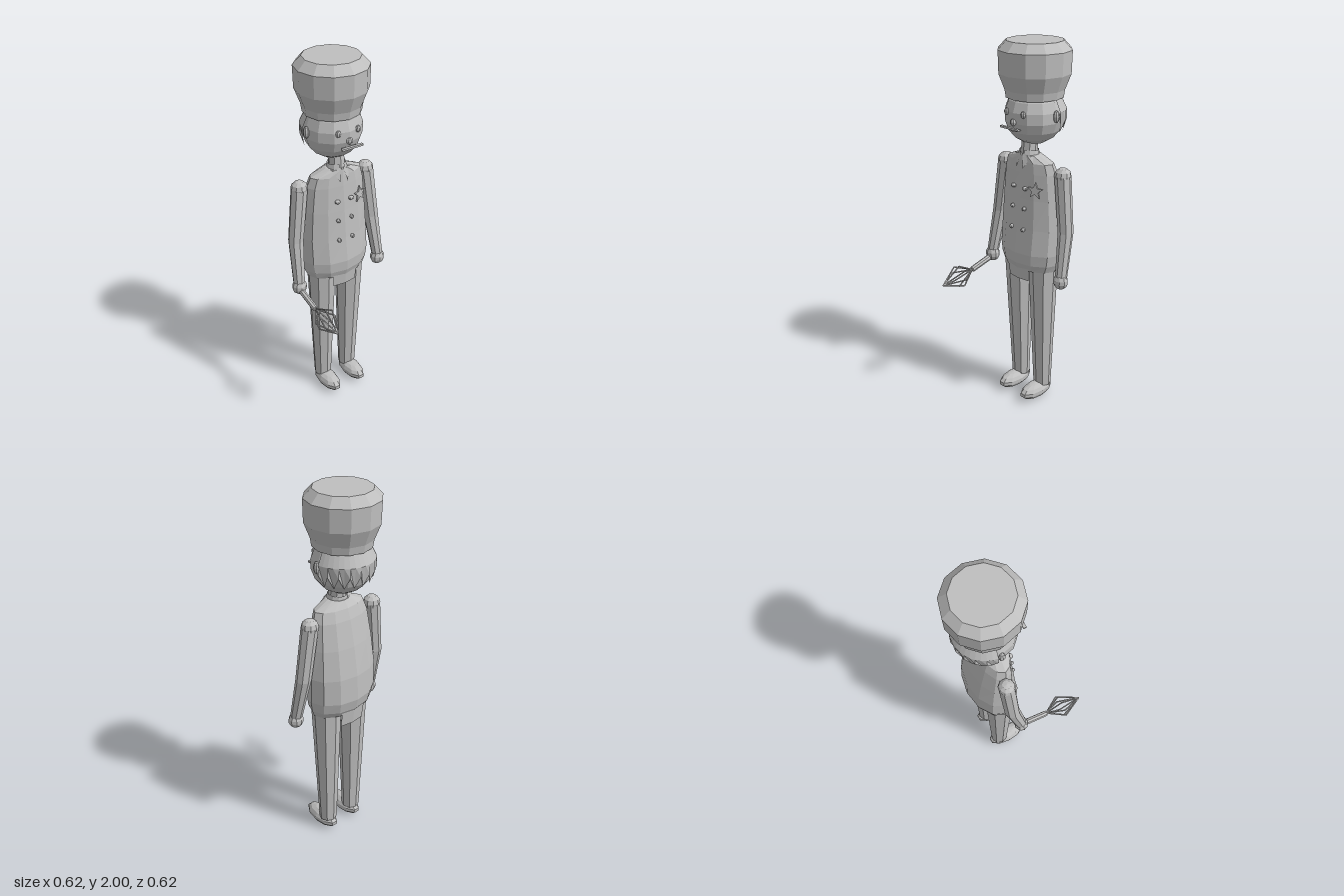
import * as THREE from 'three';

const grey = new THREE.MeshStandardMaterial({ color: 0xbfbfbf, flatShading: true, side: THREE.DoubleSide });
grey.name = 'plain grey';
const CX = 0.01; // body axis
const V = (x, y, z) => new THREE.Vector3(x, y, z);

function add(parent, name, geo, x = 0, y = 0, z = 0) {
  const m = new THREE.Mesh(geo, grey);
  m.name = name;
  m.position.set(x, y, z);
  parent.add(m);
  return m;
}

// Low-poly ellipsoid
function ball(parent, name, p, rx, ry, rz, w = 10, h = 7) {
  const m = add(parent, name, new THREE.SphereGeometry(1, w, h), ...p);
  m.scale.set(rx, ry, rz);
  return m;
}

// Tapered round bar between two points
function bar(parent, name, a, b, ra, rb, sides = 8) {
  const m = add(parent, name, new THREE.CylinderGeometry(rb, ra, a.distanceTo(b), sides));
  m.position.copy(a).lerp(b, 0.5);
  m.quaternion.setFromUnitVectors(V(0, 1, 0), b.clone().sub(a).normalize());
  return m;
}

// Closed skin through rings [centre, rx, rz], bottom to top
function loft(rings, n) {
  const pos = [], idx = [];
  for (const [c, rx, rz] of rings)
    for (let i = 0; i < n; i++) {
      const t = (i / n) * Math.PI * 2;
      pos.push(c.x + rx * Math.sin(t), c.y, c.z + rz * Math.cos(t));
    }
  for (let r = 0; r < rings.length - 1; r++)
    for (let i = 0; i < n; i++) {
      const a = r * n + i, b = r * n + (i + 1) % n;
      idx.push(a, b, b + n, a, b + n, a + n);
    }
  const top = (rings.length - 1) * n;
  for (let i = 1; i < n - 1; i++) idx.push(0, i + 1, i, top, top + i, top + i + 1);
  return surface(pos, idx);
}

function surface(pos, idx) {
  const g = new THREE.BufferGeometry();
  g.setAttribute('position', new THREE.Float32BufferAttribute(pos, 3));
  g.setIndex(idx);
  g.computeVertexNormals();
  return g;
}

// Shell round the back of the head with a jagged lower edge
function hairGeometry() {
  const pos = [], idx = [], n = 18, R = 0.167;
  for (let i = 0; i <= n; i++) {
    const t = THREE.MathUtils.degToRad(95 + (170 * i) / n);
    for (const y of [0.11, 0.03, i % 2 ? -0.08 : -0.02]) {
      const r = Math.sqrt(R * R - y * y);
      pos.push(r * Math.sin(t), y, r * Math.cos(t));
    }
  }
  for (let i = 0; i < n; i++)
    for (let j = 0; j < 2; j++) {
      const a = i * 3 + j, b = a + 3;
      idx.push(a, a + 1, b + 1, a, b + 1, b);
    }
  return surface(pos, idx);
}

function starGeometry(r) {
  const s = new THREE.Shape();
  for (let i = 0; i < 10; i++) {
    const a = Math.PI / 2 + (i * Math.PI) / 5, q = i % 2 ? r * 0.42 : r;
    s[i ? 'lineTo' : 'moveTo'](q * Math.cos(a), q * Math.sin(a));
  }
  return new THREE.ExtrudeGeometry(s, { depth: 0.008, bevelEnabled: false });
}

function buildHead(g) {
  const head = new THREE.Group();
  head.name = 'head';
  head.position.set(CX, 1.63, -0.12);
  g.add(head);
  ball(head, 'skull', [0, 0, 0], 0.156, 0.156, 0.156, 12, 9);
  add(head, 'hair', hairGeometry());
  ball(head, 'nose', [0, -0.02, 0.15], 0.018, 0.018, 0.018, 8, 6);
  for (const s of [-1, 1]) {
    ball(head, 'ear', [s * 0.156, 0.01, 0.005], 0.016, 0.032, 0.018, 8, 6);
    ball(head, 'eye', [s * 0.058, 0.025, 0.14], 0.015, 0.018, 0.012, 8, 6);
  }
  add(head, 'moustache', new THREE.BoxGeometry(0.125, 0.01, 0.016), 0, -0.045, 0.175);
  const lips = new THREE.Shape();
  lips.moveTo(-0.045, 0.006);
  lips.lineTo(0.045, 0.006);
  lips.quadraticCurveTo(0, -0.024, -0.045, 0.006);
  add(head, 'mouth', new THREE.ExtrudeGeometry(lips, { depth: 0.009, bevelEnabled: false, curveSegments: 5 }), 0, -0.06, 0.14);

  // Tall hat, wider at the top
  const profile = [[0, 1.72], [0.15, 1.72], [0.156, 1.76], [0.187, 1.84], [0.19, 1.955], [0.147, 2], [0, 2]];
  add(g, 'hat', new THREE.LatheGeometry(profile.map(([r, y]) => new THREE.Vector2(r, y)), 12), CX, 0, -0.12);
  bar(g, 'neck', V(CX, 1.38, -0.08), V(CX, 1.51, -0.09), 0.045, 0.042);
}

function buildJacket(g) {
  // Rows: height, half width, front z, back z
  const rows = [
    [0.8, 0.172, 0, -0.21], [0.84, 0.19, 0.015, -0.238], [0.9, 0.2, 0.02, -0.252], [1.04, 0.199, 0.003, -0.245],
    [1.2, 0.186, -0.01, -0.217], [1.34, 0.17, -0.02, -0.185], [1.395, 0.152, -0.025, -0.165], [1.43, 0.065, -0.028, -0.14],
  ];
  add(g, 'jacket', loft(rows.map(([y, rx, f, b]) => [V(CX, y, (f + b) / 2), rx, (f - b) / 2]), 12));

  // Hem flaps, front and back
  for (const start of [0, Math.PI]) {
    const hem = new THREE.CylinderGeometry(1, 0.93, 0.09, 2, 1, true, start - 0.44, 0.88);
    add(g, 'hemFlap', hem, CX, 0.785, -0.108).scale.set(0.18, 1, start ? 0.118 : 0.112);
  }

  // Stand-up collar, open in front, with folded points
  const collar = add(g, 'collar', new THREE.CylinderGeometry(0.05, 0.066, 0.075, 10, 1, true, 0.25, Math.PI * 2 - 0.5), CX, 1.415, -0.083);
  collar.rotation.x = -0.08;
  for (const s of [-1, 1]) {
    add(g, 'collarPoint', surface([s * 0.005, 1.44, -0.03, s * 0.055, 1.43, -0.045, s * 0.022, 1.365, -0.014], [0, 1, 2]), CX);
  }

  // Two columns of buttons and a star badge
  for (const [y, z] of [[1.26, -0.012], [1.15, -0.006], [1.035, 0.002]])
    for (const s of [-1, 1]) {
      const r = y > 1.2 ? 0.016 : 0.011;
      ball(g, 'button', [CX + s * 0.042, y, z], r, 0.011, 0.014, 8, 6);
    }
  add(g, 'starBadge', starGeometry(0.045), 0.112, 1.26, -0.027).rotation.set(-0.08, 0.32, 0);
}

function buildArm(g, s) {
  const shoulder = V(CX + s * 0.205, 1.345, -0.118), elbow = V(CX + s * 0.242, 1.05, -0.108);
  const wrist = V(CX + s * 0.258, 0.815, -0.064);
  const arm = new THREE.Group();
  arm.name = s > 0 ? 'leftArm' : 'rightArm';
  g.add(arm);
  ball(arm, 'shoulder', shoulder.toArray(), 0.046, 0.042, 0.044, 9, 6);
  add(arm, 'sleeve', loft([[wrist, 0.032, 0.032], [elbow, 0.042, 0.04], [shoulder, 0.046, 0.042]], 8));
  ball(arm, 'hand', [wrist.x, 0.79, -0.06], 0.042, 0.044, 0.038, 9, 7);
}

function buildLeg(g, s) {
  const leg = new THREE.Group();
  leg.name = s > 0 ? 'leftLeg' : 'rightLeg';
  g.add(leg);
  const foot = CX + s * 0.085;
  add(leg, 'trouser', loft([[V(foot, 0.07, -0.115), 0.05, 0.048], [V(CX + s * 0.09, 0.83, -0.105), 0.079, 0.081]], 8));
  ball(leg, 'shoe', [foot, 0.045, -0.065], 0.053, 0.045, 0.116, 10, 7);
}

function buildWhisk(g) {
  const whisk = new THREE.Group();
  whisk.name = 'whisk';
  g.add(whisk);
  const x = -0.25, neck = V(x, 0.737, 0.097), tip = V(x, 0.71, 0.308);
  bar(whisk, 'whiskHandle', V(x, 0.775, -0.05), neck, 0.017, 0.016);
  for (let i = 0; i < 8; i++) {
    const t = (i * Math.PI) / 4;
    const mid = V(x + 0.06 * Math.cos(t), 0.727 + 0.06 * Math.sin(t), 0.192);
    bar(whisk, 'whiskWire', neck, mid, 0.004, 0.004, 5);
    bar(whisk, 'whiskWire', mid, tip, 0.004, 0.004, 5);
  }
}

export function createModel() {
  const g = new THREE.Group();
  g.name = 'cook';
  buildHead(g);
  buildJacket(g);
  for (const s of [-1, 1]) {
    buildArm(g, s);
    buildLeg(g, s);
  }
  buildWhisk(g);
  return g;
}
